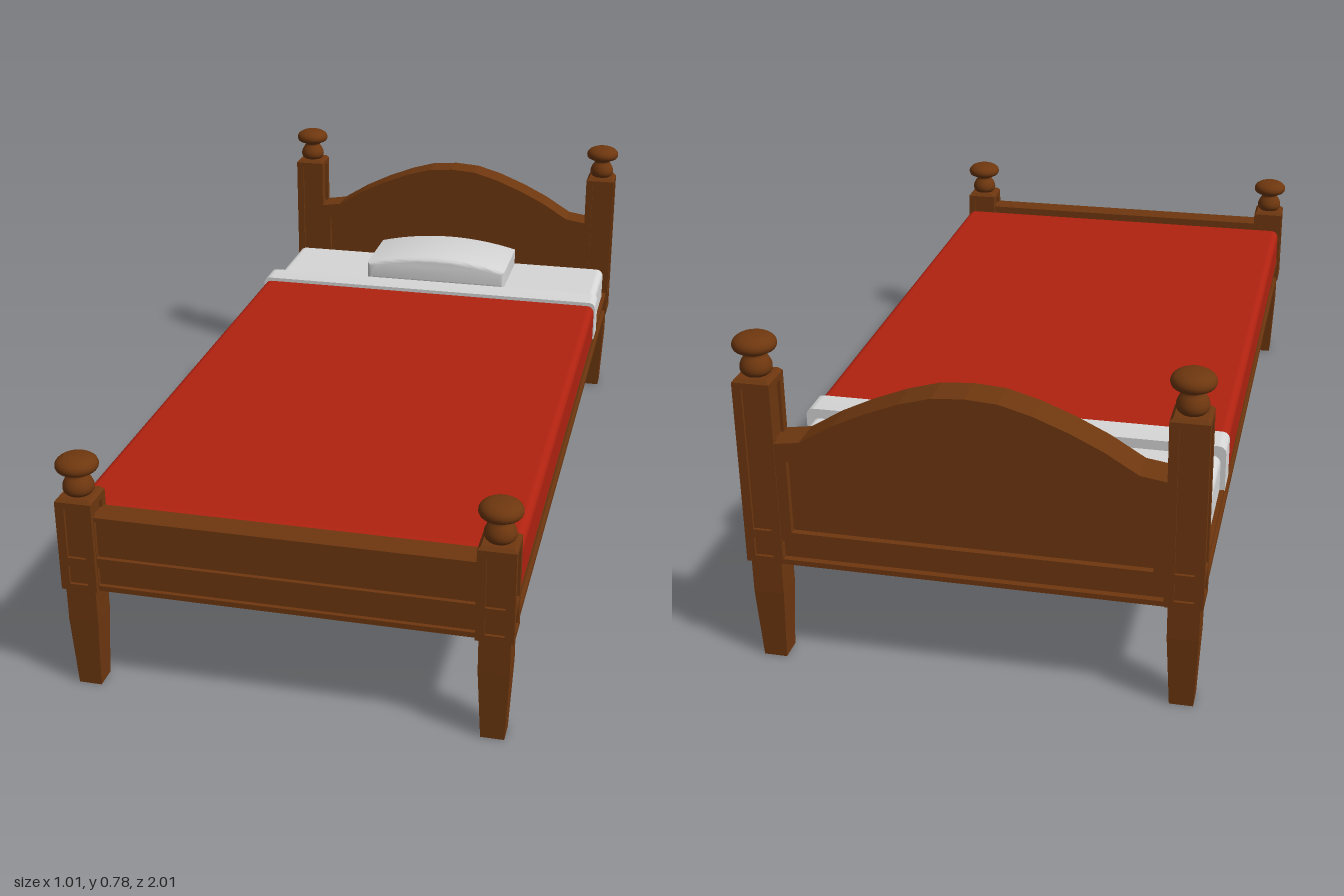
import * as THREE from 'three';
import { toCreasedNormals } from 'three/addons/utils/BufferGeometryUtils.js';
import { RoundedBoxGeometry } from 'three/addons/geometries/RoundedBoxGeometry.js';

const material = (name, color) => Object.assign(new THREE.MeshStandardMaterial({ color }), { name });

export function createModel() {
  const wood = material('brown wood', 0x6e370f);
  const red = material('red blanket', 0xb02210);
  const white = material('white linen', 0xd6d6d6);
  const bed = new THREE.Group();
  bed.name = 'bed';

  const add = (parent, name, geo, mat, x = 0, y = 0, z = 0) => {
    const mesh = new THREE.Mesh(geo, mat);
    mesh.name = name;
    mesh.position.set(x, y, z);
    parent.add(mesh);
    return mesh;
  };
  // box given by its limits
  const box = (parent, name, x0, x1, y0, y1, z0, z1, mat = wood) =>
    add(parent, name, new THREE.BoxGeometry(x1 - x0, y1 - y0, z1 - z0), mat,
      (x0 + x1) / 2, (y0 + y1) / 2, (z0 + z1) / 2);
  const outline = (pts) => new THREE.Shape(pts.map(([x, y]) => new THREE.Vector2(x, y)));
  const rect = (x, y0, y1) => [[-x, y0], [x, y0], [x, y1], [-x, y1]];
  // flat frame with openings, from z = 0 towards +z
  const frame = (edge, holes, depth) => {
    const shape = outline(edge);
    shape.holes = holes.map(outline);
    return new THREE.ExtrudeGeometry(shape, { depth, bevelEnabled: false });
  };
  const mirrored = (half) => [...half, ...half.filter(([x]) => x > 0).reverse().map(([x, y]) => [-x, y])];

  // turned finial: ball, neck and flattened knob
  const profile = new THREE.SplineCurve([
    [0.026, 0], [0.033, 0.008], [0.034, 0.02], [0.029, 0.033], [0.022, 0.044], [0.027, 0.05],
    [0.042, 0.056], [0.047, 0.067], [0.042, 0.079], [0.026, 0.088], [0, 0.091],
  ].map(([x, y]) => new THREE.Vector2(x, y))).getPoints(30);
  profile.forEach((p) => { p.x = Math.max(p.x, 0); });
  const finial = new THREE.LatheGeometry(profile, 24);
  const square = (top, bottom, h) => {
    const g = new THREE.CylinderGeometry(top * Math.SQRT2, bottom * Math.SQRT2, h, 4);
    return toCreasedNormals(g.rotateY(Math.PI / 4), 0.5);
  };

  // square post with recessed panels, tapered leg and finial
  const post = (name, x, z, top) => {
    const g = new THREE.Group();
    g.name = name;
    g.position.set(x, 0, z);
    const r = 0.041, d = 0.007, flat = top - 0.008;
    box(g, 'postCore', d - r, r - d, 0.25, flat, d - r, r - d);
    const face = frame(rect(r, 0.25, flat), [rect(0.021, 0.265, 0.31), rect(0.021, 0.33, top - 0.022)], d);
    face.translate(0, 0, r - d);
    for (let i = 0; i < 4; i++) add(g, 'postPanelFrame', face, wood).rotation.y = i * Math.PI / 2;
    add(g, 'postCap', square(0.034, r, 0.008), wood, 0, top - 0.004, 0);
    add(g, 'legTop', square(0.034, 0.034, 0.08), wood, 0, 0.21, 0);
    add(g, 'legTaper', square(0.034, 0.026, 0.17), wood, 0, 0.085, 0);
    add(g, 'finial', finial, wood, 0, top, 0);
    bed.add(g);
  };
  for (const s of [-1, 1]) {
    const side = s > 0 ? 'left' : 'right';
    post(side + 'FootPost', s * 0.457, 0.956, 0.472);
    post(side + 'HeadPost', s * 0.457, -0.956, 0.685);
  }

  // footboard with two recessed panels on each face
  const lowPanel = rect(0.415, 0.262, 0.308);
  box(bed, 'footboardCore', -0.42, 0.42, 0.25, 0.43, 0.935, 0.977);
  const footFrame = frame(rect(0.425, 0.25, 0.43), [lowPanel, rect(0.415, 0.33, 0.42)], 0.01);
  add(bed, 'footboardFrontFrame', footFrame, wood, 0, 0, 0.977);
  add(bed, 'footboardBackFrame', footFrame, wood, 0, 0, 0.925);

  // arched headboard with an arched panel on each face
  const arch = mirrored([[0.425, 0.25], [0.425, 0.54], [0.36, 0.55], [0.285, 0.596], [0.215, 0.63],
    [0.14, 0.66], [0.07, 0.68], [0, 0.685]]);
  const archPanel = mirrored([[0.392, 0.33], [0.392, 0.502], [0.352, 0.508], [0.275, 0.556],
    [0.205, 0.59], [0.135, 0.615], [0.065, 0.63], [0, 0.635]]);
  const headFrame = frame(arch, [lowPanel, archPanel], 0.015);
  add(bed, 'headboardCore', frame(arch, [], 0.05), wood, 0, 0, -0.98);
  add(bed, 'headboardFrontFrame', headFrame, wood, 0, 0, -0.93);
  add(bed, 'headboardBackFrame', headFrame, wood, 0, 0, -0.995);

  // side rails with a long recessed panel, and the closed base
  const railFrame = frame(rect(0.92, 0.25, 0.32), [rect(0.91, 0.262, 0.308)], 0.008);
  for (const s of [-1, 1]) {
    const rail = add(bed, s > 0 ? 'leftRail' : 'rightRail', railFrame, wood, s * 0.486, 0, 0);
    rail.rotation.y = s * Math.PI / 2;
  }
  box(bed, 'base', -0.486, 0.486, 0.25, 0.319, -0.93, 0.93);

  // bedding
  const soft = (name, mat, x, y0, y1, z0, z1, radius) =>
    add(bed, name, new RoundedBoxGeometry(2 * x, y1 - y0, z1 - z0, 4, radius), mat,
      0, (y0 + y1) / 2, (z0 + z1) / 2);
  soft('mattress', white, 0.484, 0.3, 0.406, -0.9, -0.54, 0.02);
  soft('blanket', red, 0.493, 0.29, 0.42, -0.56, 0.912, 0.02);
  // folded sheet wrapped over the blanket edge
  const fold = new THREE.Shape();
  fold.moveTo(-0.496, 0.318);
  fold.lineTo(0.496, 0.318);
  fold.lineTo(0.496, 0.41);
  fold.quadraticCurveTo(0.496, 0.43, 0.476, 0.43);
  fold.lineTo(-0.476, 0.43);
  fold.quadraticCurveTo(-0.496, 0.43, -0.496, 0.41);
  const foldGeo = new THREE.ExtrudeGeometry(fold, { depth: 0.075, bevelEnabled: false, curveSegments: 6 });
  add(bed, 'sheetFold', toCreasedNormals(foldGeo, 0.6), white, 0, 0, -0.602);

  // pillow with a gently arched top
  const pillow = new THREE.Shape();
  pillow.moveTo(-0.21, 0.4);
  pillow.lineTo(0.21, 0.4);
  pillow.lineTo(0.21, 0.453);
  pillow.quadraticCurveTo(0, 0.507, -0.21, 0.453);
  const pillowGeo = new THREE.ExtrudeGeometry(pillow, {
    depth: 0.205, bevelThickness: 0.012, bevelSize: 0.012, bevelOffset: -0.012, bevelSegments: 3, curveSegments: 16,
  });
  add(bed, 'pillow', toCreasedNormals(pillowGeo, 0.6), white, 0, 0, -0.877);

  return bed;
}
